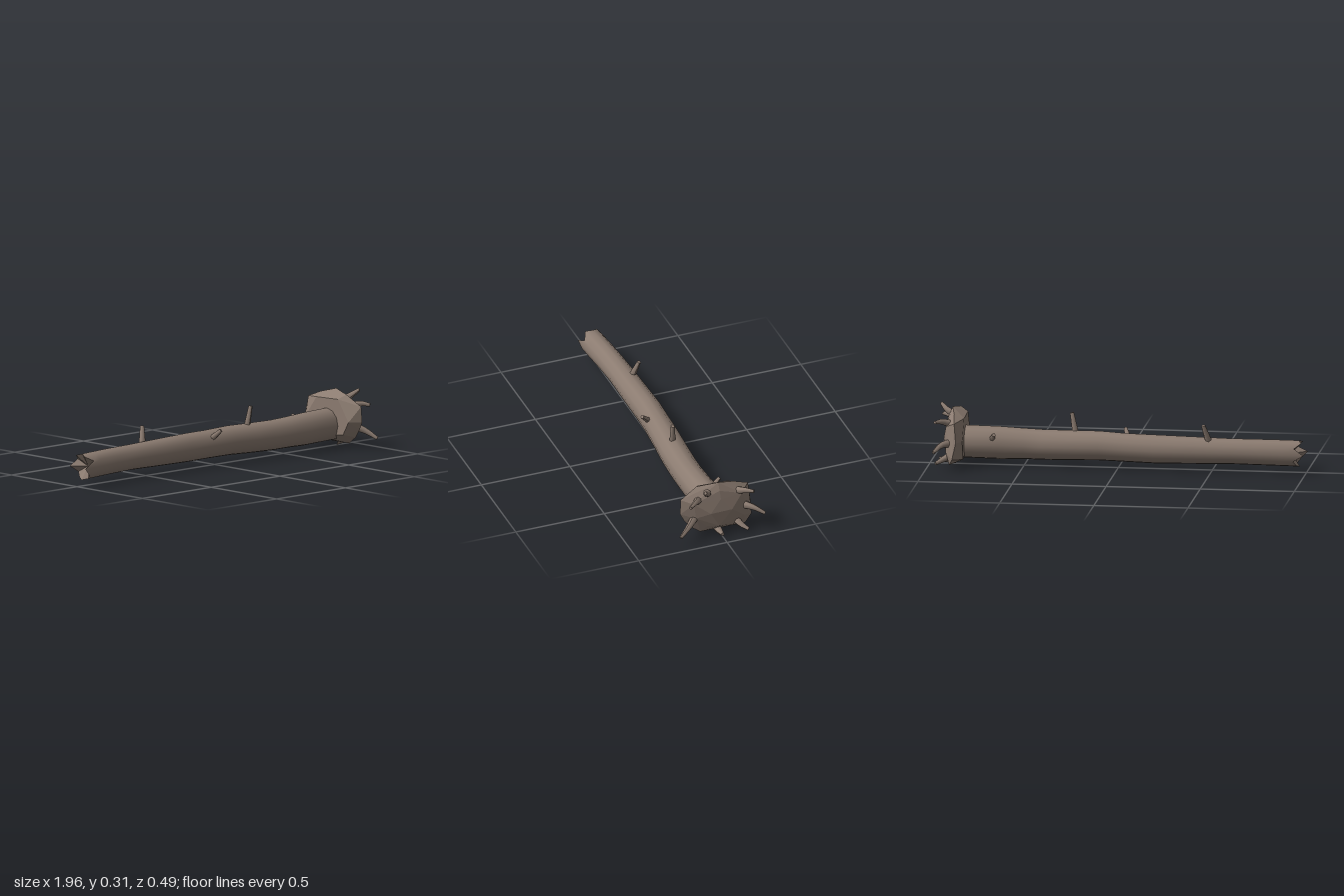
import * as THREE from 'three';
import { ConvexGeometry } from 'three/addons/geometries/ConvexGeometry.js';

const bark = new THREE.MeshStandardMaterial({ color: 0x8c7c71 });
bark.name = 'bark';

// Tapered, curved limb with a flat cut tip
function limb(name, points, r0, r1, sides = 7, steps = 6) {
  const curve = new THREE.CatmullRomCurve3(points.map(p => new THREE.Vector3(...p)));
  const geo = new THREE.TubeGeometry(curve, steps, 1, sides, false);
  const pos = geo.attributes.position, v = new THREE.Vector3();
  for (let i = 0; i <= steps; i++) {
    const c = curve.getPointAt(i / steps), r = THREE.MathUtils.lerp(r0, r1, i / steps);
    for (let j = 0; j <= sides; j++) {
      const k = i * (sides + 1) + j;
      v.fromBufferAttribute(pos, k).sub(c).multiplyScalar(r).add(c);
      pos.setXYZ(k, v.x, v.y, v.z);
    }
  }
  geo.computeVertexNormals();
  const group = new THREE.Group();
  group.name = name;
  const cap = new THREE.Mesh(new THREE.CircleGeometry(r1 * 1.02, sides), bark);
  cap.position.copy(curve.getPointAt(1));
  cap.lookAt(cap.position.clone().add(curve.getTangentAt(1)));
  cap.name = name + 'Tip';
  const body = new THREE.Mesh(geo, bark);
  body.name = name + 'Body';
  group.add(body, cap);
  return group;
}

function mesh(name, positions, index) {
  const geo = new THREE.BufferGeometry();
  geo.setAttribute('position', new THREE.Float32BufferAttribute(positions, 3));
  geo.setIndex(index);
  geo.computeVertexNormals();
  const m = new THREE.Mesh(geo, bark);
  m.name = name;
  return m;
}

// Gently wavy trunk; the first ring is snapped off into splinters
function trunk() {
  const sections = [ // x, yLow, yHigh, zBack, zFront
    [-0.96, 0.035, 0.175, -0.066, 0.064], [-0.88, 0.037, 0.177, -0.071, 0.06],
    [-0.75, 0.04, 0.179, -0.079, 0.052], [-0.6, 0.043, 0.18, -0.086, 0.047],
    [-0.4, 0.039, 0.185, -0.091, 0.049], [-0.2, 0.036, 0.19, -0.095, 0.05],
    [-0.05, 0.039, 0.192, -0.088, 0.057], [0.1, 0.041, 0.199, -0.08, 0.071],
    [0.25, 0.036, 0.197, -0.073, 0.083], [0.4, 0.033, 0.196, -0.066, 0.089],
    [0.5, 0.034, 0.2, -0.064, 0.09], [0.63, 0.031, 0.207, -0.069, 0.091],
    [0.8, 0.035, 0.211, -0.08, 0.092], [0.86, 0.035, 0.211, -0.08, 0.092],
  ];
  const jag = [-0.96, -0.978, -0.93, -1, -0.965, -0.945, -0.965, -0.95, -0.935, -0.99, -0.94, -0.975];
  const n = jag.length, pos = [], idx = [];
  sections.forEach(([x, y0, y1, z0, z1], i) => {
    for (let j = 0; j < n; j++) {
      const a = j / n * Math.PI * 2;
      pos.push(i ? x : jag[j], (y0 + y1) / 2 + Math.cos(a) * (y1 - y0) / 2,
        (z0 + z1) / 2 + Math.sin(a) * (z1 - z0) / 2);
      if (i) {
        const k = (j + 1) % n, p = (i - 1) * n, q = i * n;
        idx.push(p + j, p + k, q + j, p + k, q + k, q + j);
      }
    }
  });
  // Hollow broken face, faceted
  const face = [];
  for (let j = 0; j < n; j++) {
    const k = (j + 1) % n;
    face.push(-0.92, 0.105, 0, ...pos.slice(k * 3, k * 3 + 3), ...pos.slice(j * 3, j * 3 + 3));
  }
  const g = new THREE.Group();
  g.name = 'trunk';
  g.add(mesh('trunkBark', pos, idx), mesh('brokenEnd', face, face.slice(0, n * 3).map((_, i) => i)));
  return g;
}

// Faceted clump of roots and soil
function rootPlate() {
  const rim = [ // z, y, x
    [0.005, 0.308, 0.88], [-0.09, 0.283, 0.86], [-0.175, 0.25, 0.85], [-0.192, 0.15, 0.84],
    [-0.192, 0.06, 0.86], [-0.15, 0.025, 0.88], [0.105, 0.025, 0.88], [0.165, 0.065, 0.87],
    [0.195, 0.11, 0.87], [0.215, 0.15, 0.87], [0.212, 0.235, 0.865], [0.115, 0.29, 0.85],
  ];
  const pts = [new THREE.Vector3(0.92, 0.15, -0.06), new THREE.Vector3(0.92, 0.147, 0.06),
    new THREE.Vector3(0.91, 0.22, 0), new THREE.Vector3(0.915, 0.06, 0.01)];
  rim.forEach(([z, y, x], i) => {
    pts.push(new THREE.Vector3(x, y, z));
    if (i % 2) pts.push(new THREE.Vector3(0.81, 0.16 + (y - 0.16) * 0.82, z * 0.8));
    else pts.push(new THREE.Vector3(0.9, 0.16 + (y - 0.16) * 0.72, z * 0.7));
  });
  const m = new THREE.Mesh(new ConvexGeometry(pts), bark);
  m.name = 'rootPlate';
  return m;
}

export function createModel() {
  const model = new THREE.Group();
  model.name = 'fallenLog';
  model.add(trunk(), rootPlate());

  // Curled roots: [z, y] at base, middle and tip
  [
    [[0.065, 0.25], [0.078, 0.275], [0.105, 0.305]],
    [[0.105, 0.215], [0.145, 0.238], [0.188, 0.232]],
    [[0.125, 0.125], [0.18, 0.1], [0.243, 0.06]],
    [[0.008, 0.027], [0.007, 0.024], [0.006, 0.028]],
    [[-0.088, 0.07], [-0.11, 0.045], [-0.14, 0.028]],
    [[-0.125, 0.14], [-0.18, 0.135], [-0.233, 0.105]],
    [[-0.095, 0.228], [-0.13, 0.252], [-0.17, 0.255]],
  ].forEach((p, i) => model.add(limb('root' + (i + 1),
    p.map(([z, y], k) => [[0.865, 0.918, 0.953][k], y, z]), 0.024, 0.009)));

  // Snapped branch stubs
  [
    [[-0.487, 0.16, -0.04], [-0.46, 0.255, -0.07], 0.019, 0.011],
    [[-0.05, 0.155, 0.035], [-0.028, 0.2, 0.08], 0.016, 0.01],
    [[0.225, 0.17, 0.008], [0.248, 0.29, 0.015], 0.018, 0.011],
    [[0.665, 0.15, -0.05], [0.65, 0.18, -0.092], 0.016, 0.01],
  ].forEach(([a, b, r0, r1], i) => model.add(limb('branch' + (i + 1), [a, b], r0, r1, 7, 2)));
  return model;
}
